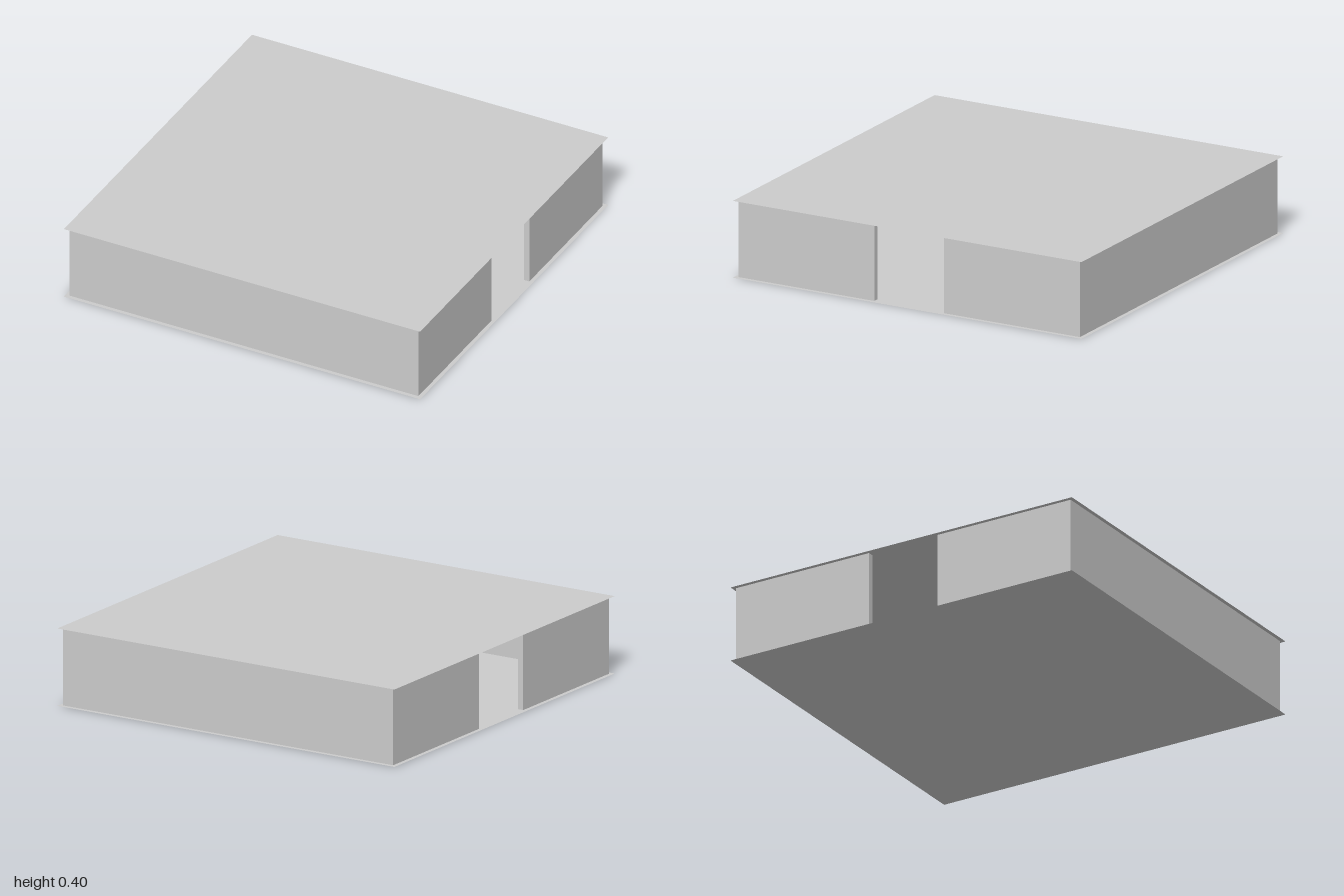
import * as THREE from 'three';

export function createModel() {
  const group = new THREE.Group();
  const material = new THREE.MeshStandardMaterial({ color: 0xcccccc, side: THREE.DoubleSide });
  const height = 0.4, outer = 0.98, thick = 0.03, gap = 0.2;

  const add = (name, geometry, x, y, z) => {
    const mesh = new THREE.Mesh(geometry, material);
    mesh.name = name;
    mesh.position.set(x, y, z);
    group.add(mesh);
  };

  // Paper-thin floor and ceiling that overhang the walls slightly
  const sheet = new THREE.PlaneGeometry(2, 2).rotateX(-Math.PI / 2);
  add('floor', sheet, 0, 0, 0);
  add('ceiling', sheet, 0, height, 0);

  // Full walls at front and back, side walls split by a central doorway
  const wallHeight = height - 0.002;
  const longWall = new THREE.BoxGeometry(2 * outer, wallHeight, thick);
  const sideLength = outer - thick - gap;
  const sideWall = new THREE.BoxGeometry(thick, wallHeight, sideLength);
  for (const s of [1, -1]) {
    add(s > 0 ? 'frontWall' : 'backWall', longWall, 0, height / 2, s * (outer - thick / 2));
    for (const t of [1, -1]) {
      const name = (s > 0 ? 'left' : 'right') + (t > 0 ? 'Front' : 'Back') + 'SideWall';
      add(name, sideWall, s * (outer - thick / 2), height / 2, t * (gap + sideLength / 2));
    }
  }
  return group;
}
